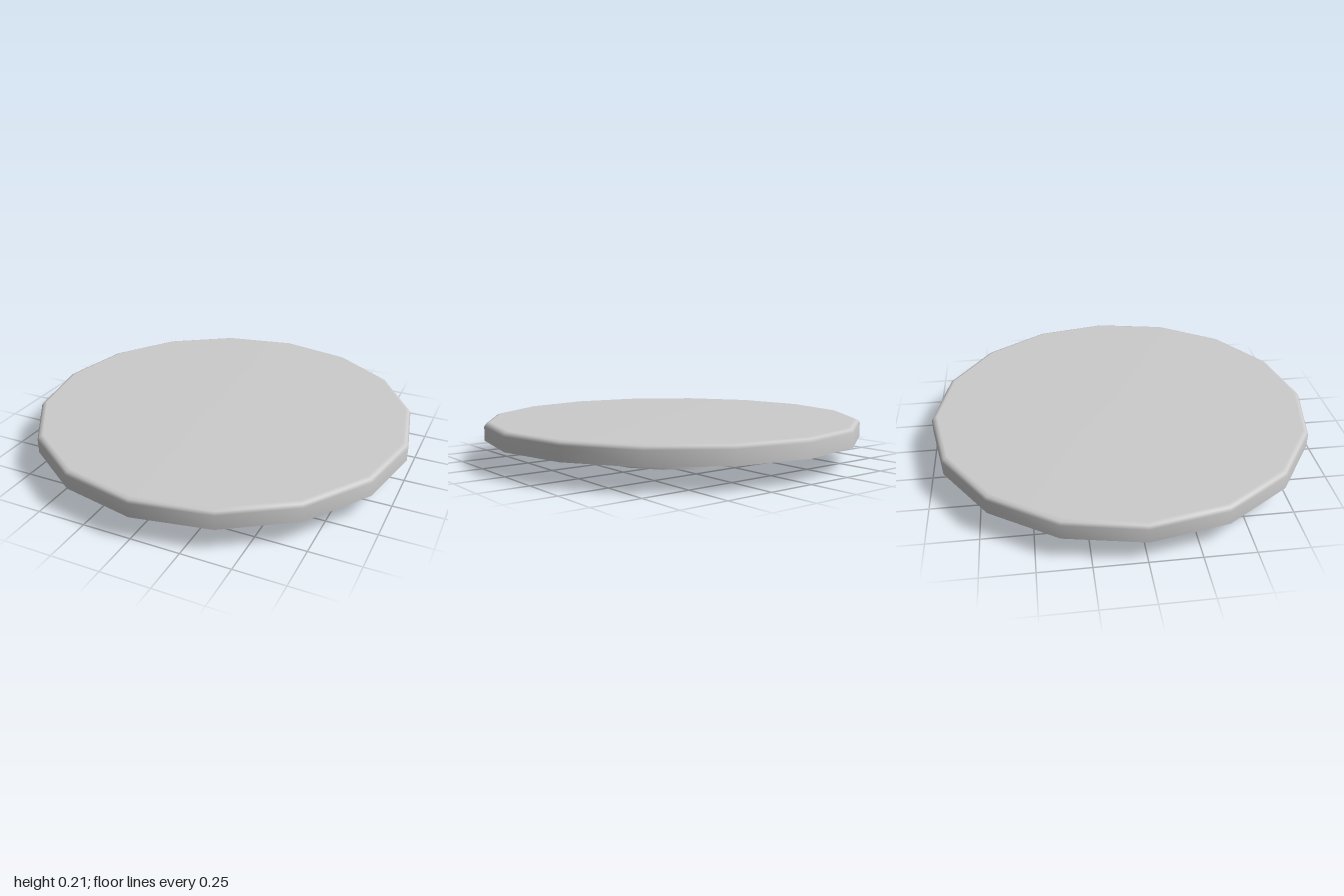
import * as THREE from 'three';

const SIDES = 16;

export function createModel() {
  const model = new THREE.Group();
  const material = new THREE.MeshStandardMaterial({ color: 0xcccccc });

  // Each profile is one smooth run; separate runs meet in a sharp edge.
  const addTurned = (name, profiles) => {
    const part = new THREE.Group();
    part.name = name;
    for (const [label, points] of Object.entries(profiles)) {
      const curve = points.map(([r, y]) => new THREE.Vector2(r, y));
      const mesh = new THREE.Mesh(new THREE.LatheGeometry(curve, SIDES), material);
      mesh.name = label;
      part.add(mesh);
    }
    model.add(part);
  };

  // Wide plate with a softly rounded upper rim and a flat underside
  addTurned('plate', {
    plateUnderside: [[0, 0.117], [1, 0.117]],
    plateRimAndTop: [[1, 0.117], [1, 0.19], [0.99, 0.205], [0.97, 0.212], [0, 0.212]],
  });

  // Smaller foot disc, just clear of the plate, with a shallow centre recess
  addTurned('foot', {
    recessFloor: [[0, 0.02], [0.04, 0.02]],
    recessWall: [[0.04, 0.02], [0.04, 0]],
    footUnderside: [[0.04, 0], [0.45, 0]],
    footWall: [[0.45, 0], [0.45, 0.103]],
    footTop: [[0.45, 0.103], [0, 0.103]],
  });

  return model;
}
